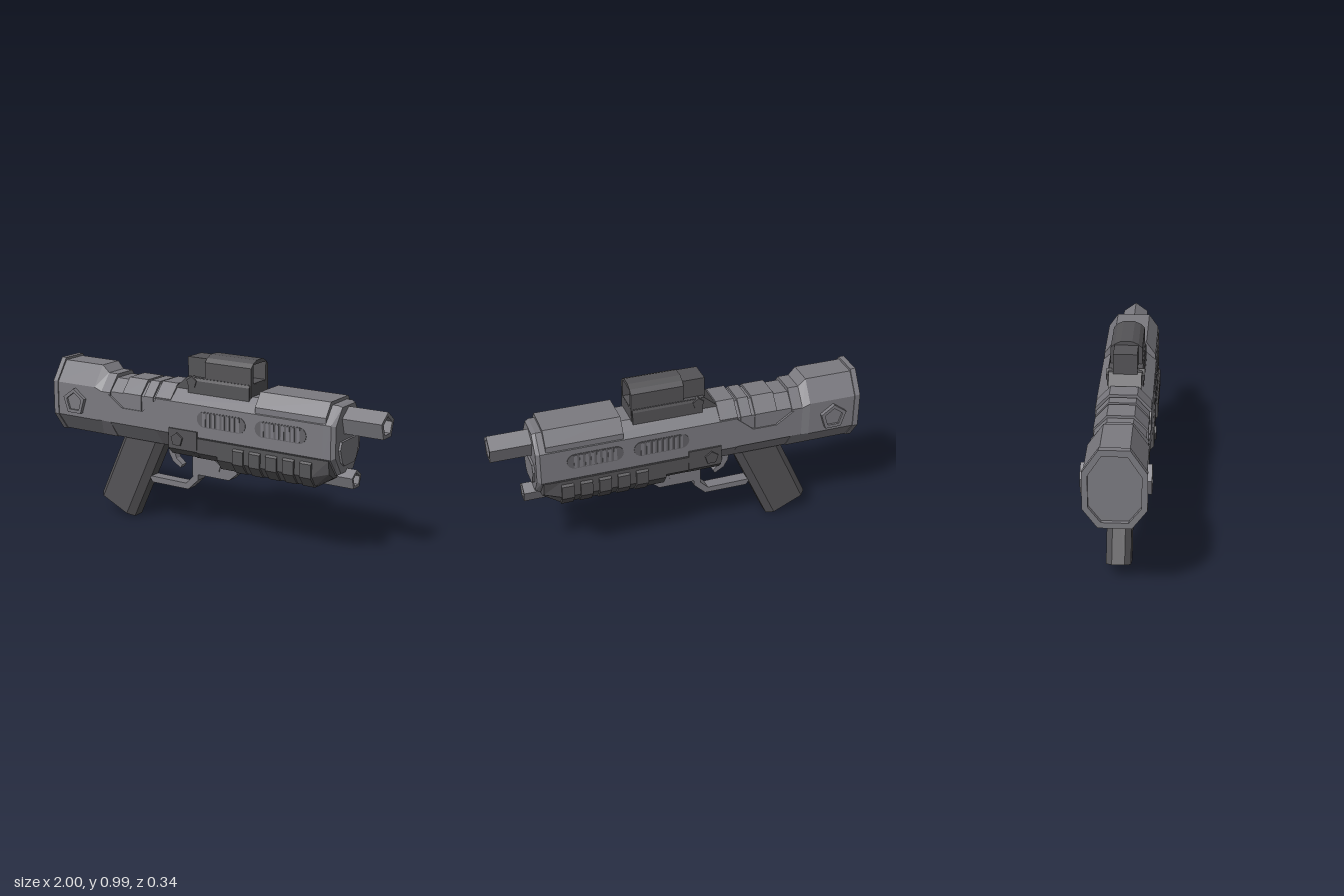
import * as THREE from 'three';

const mat = (name, color) => {
  const m = new THREE.MeshStandardMaterial({ color });
  m.name = name;
  return m;
};

export function createModel() {
  const root = new THREE.Group();
  const grey = mat('bodyGrey', 0x7b7a80);
  const dark = mat('darkGrey', 0x545356);
  const shade = mat('ventGrey', 0x636267);

  // Adds a faceted mesh
  const add = (name, geo, material, x = 0, y = 0, z = 0) => {
    const g = geo.index ? geo.toNonIndexed() : geo;
    g.computeVertexNormals();
    const mesh = new THREE.Mesh(g, material);
    mesh.name = name;
    mesh.position.set(x, y, z);
    root.add(mesh);
    return mesh;
  };

  // Solid along x through sections [x, half outline]; half is [z, y] from bottom to top
  const loft = (sections) => {
    const rings = sections.map(([x, half]) => [
      ...half.map(([z, y]) => [x, y, z]),
      ...half.slice().reverse().map(([z, y]) => [x, y, -z]),
    ]);
    const n = rings[0].length, pos = [];
    const tri = (...pts) => pts.forEach((p) => pos.push(...p));
    for (let s = 0; s < rings.length - 1; s++) {
      const A = rings[s], B = rings[s + 1];
      for (let i = 0; i < n; i++) {
        const j = (i + 1) % n;
        tri(A[i], B[i], B[j]);
        tri(A[i], B[j], A[j]);
      }
    }
    const F = rings[0], L = rings[rings.length - 1];
    for (let i = 1; i < n - 1; i++) {
      tri(F[0], F[i], F[i + 1]);
      tri(L[0], L[i + 1], L[i]);
    }
    return new THREE.BufferGeometry().setAttribute('position', new THREE.Float32BufferAttribute(pos, 3));
  };
  const prism = (x0, x1, half) => loft([[x0, half], [x1, half]]);

  // Flat outline extruded in z, centred
  const vec = (pts) => pts.map(([x, y]) => new THREE.Vector2(x, y));
  const slab = (pts, depth, hole) => {
    const s = new THREE.Shape(vec(pts));
    if (hole) s.holes.push(new THREE.Path(vec(hole)));
    return new THREE.ExtrudeGeometry(s, { depth, bevelEnabled: false }).translate(0, 0, -depth / 2);
  };
  const pent = (r) => Array.from({ length: 5 }, (_, i) => {
    const a = Math.PI / 2 + (i * Math.PI * 2) / 5;
    return [r * Math.cos(a), r * Math.sin(a)];
  });
  const mirror = (half) => [...half, ...half.slice().reverse().map(([z, y]) => [-z, y])];

  // Rear stock with a recessed end panel
  const stock = [[0.075, 0.478], [0.148, 0.575], [0.148, 0.76], [0.07, 0.872]];
  const stockEnd = [[0.075, 0.478], [0.14, 0.575], [0.14, 0.74], [0.065, 0.832]];
  add('stock', loft([[-0.98, stock], [-0.71, stock], [-0.67, stockEnd], [-0.61, stockEnd]]), grey);
  const rim = [[0.08, 0.475], [0.153, 0.575], [0.153, 0.765], [0.073, 0.885]];
  const rimHole = [[0.065, 0.505], [0.125, 0.585], [0.125, 0.75], [0.06, 0.852]];
  add('stockRim', slab(mirror(rim), 0.03, mirror(rimHole)).rotateY(Math.PI / 2), grey, -0.985);

  // Narrow neck, notched side cheeks and collars
  add('neck', prism(-0.62, -0.29, [[0.07, 0.48], [0.14, 0.575], [0.13, 0.6], [0.13, 0.745], [0.065, 0.812]]), grey);
  add('neckCheeks', slab([[-0.62, 0.575], [-0.29, 0.575], [-0.29, 0.75], [-0.39, 0.665], [-0.525, 0.665], [-0.62, 0.73]], 0.284), grey);
  for (const [x0, x1] of [[-0.525, -0.4], [-0.38, -0.32]])
    add('neckCollar', prism(x0, x1, [[0.136, 0.66], [0.136, 0.75], [0.068, 0.826]]), grey);

  // Main receiver, raised strap and forward top cover
  const body = [[0.07, 0.48], [0.145, 0.575], [0.145, 0.75], [0.07, 0.818]];
  const nose = [[0.07, 0.48], [0.145, 0.575], [0.145, 0.75], [0.075, 0.84]];
  const noseEnd = [[0.065, 0.49], [0.13, 0.585], [0.13, 0.745], [0.068, 0.832]];
  add('receiver', prism(-0.3, 0.72, body), grey);
  add('nose', loft([[0.72, nose], [0.765, nose], [0.785, noseEnd]]), grey);
  add('strap', prism(-0.3, -0.2, [[0.142, 0.74], [0.142, 0.757], [0.071, 0.832]]), grey);
  add('topCover', prism(0.325, 0.733, [[0.141, 0.7], [0.141, 0.785], [0.09, 0.857]]), grey);
  add('nosePlate', slab(mirror([[0.05, 0.53], [0.075, 0.55], [0.1, 0.62], [0.085, 0.66]]), 0.02)
    .rotateY(Math.PI / 2), grey, 0.787);

  // Five-sided hollow barrels, each with a floor inside
  const barrel = (name, r, x0, x1, y, floorMat) => {
    add(name, slab(pent(r), x1 - x0, pent(r * 0.68)).rotateY(Math.PI / 2), grey, (x0 + x1) / 2, y);
    add(name + 'Floor', slab(pent(r * 0.7), 0.01).rotateY(Math.PI / 2), floorMat, x1 - 0.06, y);
  };
  barrel('barrel', 0.073, 0.77, 1, 0.752, grey);
  barrel('lowerTube', 0.052, 0.66, 0.84, 0.453, dark);

  // Handguard with ribs and rear tab
  const guard = [[0.07, 0.405], [0.11, 0.415], [0.15, 0.472], [0.15, 0.57]];
  const guardEnd = [[0.06, 0.465], [0.09, 0.468], [0.135, 0.5], [0.146, 0.57]];
  add('handguard', loft([[0.1, guard], [0.66, guard], [0.755, guardEnd]]), dark);
  add('handguardRear', prism(-0.05, 0.1, [[0.07, 0.45], [0.11, 0.452], [0.15, 0.49], [0.15, 0.57]]), dark);
  add('handguardTab', prism(-0.207, -0.025, [[0.08, 0.455], [0.12, 0.458], [0.154, 0.495], [0.154, 0.605]]), dark);
  for (let i = 0; i < 5; i++) {
    const x = 0.2 + i * 0.1;
    add('handguardRib', prism(x, x + 0.065, [[0.1, 0.41], [0.119, 0.413], [0.161, 0.468], [0.161, 0.54], [0.15, 0.55]]), dark);
  }

  for (const s of [1, -1]) {
    // Large stock bolts: raised ring with a sunken centre
    add('stockBoltRing', slab(pent(0.076), 0.04, pent(0.054)), grey, -0.845, 0.662, s * 0.149);
    add('stockBoltCentre', slab(pent(0.056), 0.02), grey, -0.845, 0.662, s * 0.148);
    // Small bolts
    add('tabBolt', slab(pent(0.038), 0.02), dark, -0.15, 0.548, s * 0.154);
    add('sightBolt', slab(pent(0.032), 0.03), dark, -0.095, 0.855, s * 0.085);
    add('housingBolt', slab(pent(0.032), 0.01), grey, 0.02, 0.395, s * 0.036);
    // Slatted vents
    for (const cx of [0.122, 0.478]) {
      const slot = new THREE.Shape();
      slot.absarc(0.108, 0, 0.042, -Math.PI / 2, Math.PI / 2);
      slot.absarc(-0.108, 0, 0.042, Math.PI / 2, Math.PI * 1.5);
      const geo = new THREE.ExtrudeGeometry(slot, { depth: 0.006, bevelEnabled: false, curveSegments: 4 });
      add('vent', geo.translate(0, 0, -0.003), shade, cx, 0.677, s * 0.145);
      for (let i = 0; i < 8; i++)
        add('ventSlat', new THREE.BoxGeometry(0.017, 0.074, 0.008), grey, cx - 0.105 + i * 0.03, 0.677, s * 0.147);
    }
  }

  // Sight: mount, hollow hood and rear block left open towards the hood
  add('sightMount', slab([[-0.21, 0.812], [0.265, 0.812], [0.265, 0.88], [-0.13, 0.88]], 0.17), dark);
  add('sightRail', prism(-0.12, 0.26, [[0.094, 0.78], [0.094, 0.865], [0.088, 0.878]]), dark);
  add('sightHood', slab(mirror([[0.083, 0.865], [0.083, 0.967], [0.062, 0.988], [0.03, 1.003]]), 0.283,
    [[-0.06, 0.885], [0.06, 0.885], [0.06, 0.983], [-0.06, 0.983]]).rotateY(Math.PI / 2), dark, 0.123);
  const block = new THREE.BoxGeometry(0.122, 0.11, 0.124);
  block.setIndex(Array.from(block.index.array).slice(6));
  add('sightRearBlock', block, dark, -0.079, 0.928);

  // Slanted grip with chamfered corners
  const grip = slab([[-0.125, -0.032], [-0.095, -0.062], [0.085, -0.062], [0.125, -0.032],
    [0.125, 0.032], [0.085, 0.062], [-0.095, 0.062], [-0.125, 0.032]], 0.52);
  grip.translate(0, 0, 0.26).rotateX(-Math.PI / 2).rotateZ(-0.436);
  add('grip', grip, dark, -0.648, 0.065);

  // Trigger, its guard and the housing in front
  add('trigger', slab([[-0.305, 0.49], [-0.3, 0.42], [-0.275, 0.375], [-0.225, 0.345],
    [-0.212, 0.365], [-0.25, 0.395], [-0.265, 0.43], [-0.262, 0.49]], 0.04), grey);
  add('triggerGuard', slab([[-0.43, 0.27], [-0.405, 0.236], [-0.165, 0.236], [-0.1, 0.298], [-0.1, 0.47],
    [-0.135, 0.47], [-0.135, 0.312], [-0.18, 0.268]], 0.066), grey);
  add('triggerHousing', slab([[-0.135, 0.49], [-0.135, 0.45], [-0.1, 0.33], [0.1, 0.33], [0.15, 0.372], [0.15, 0.49]], 0.07), grey);

  return root;
}
